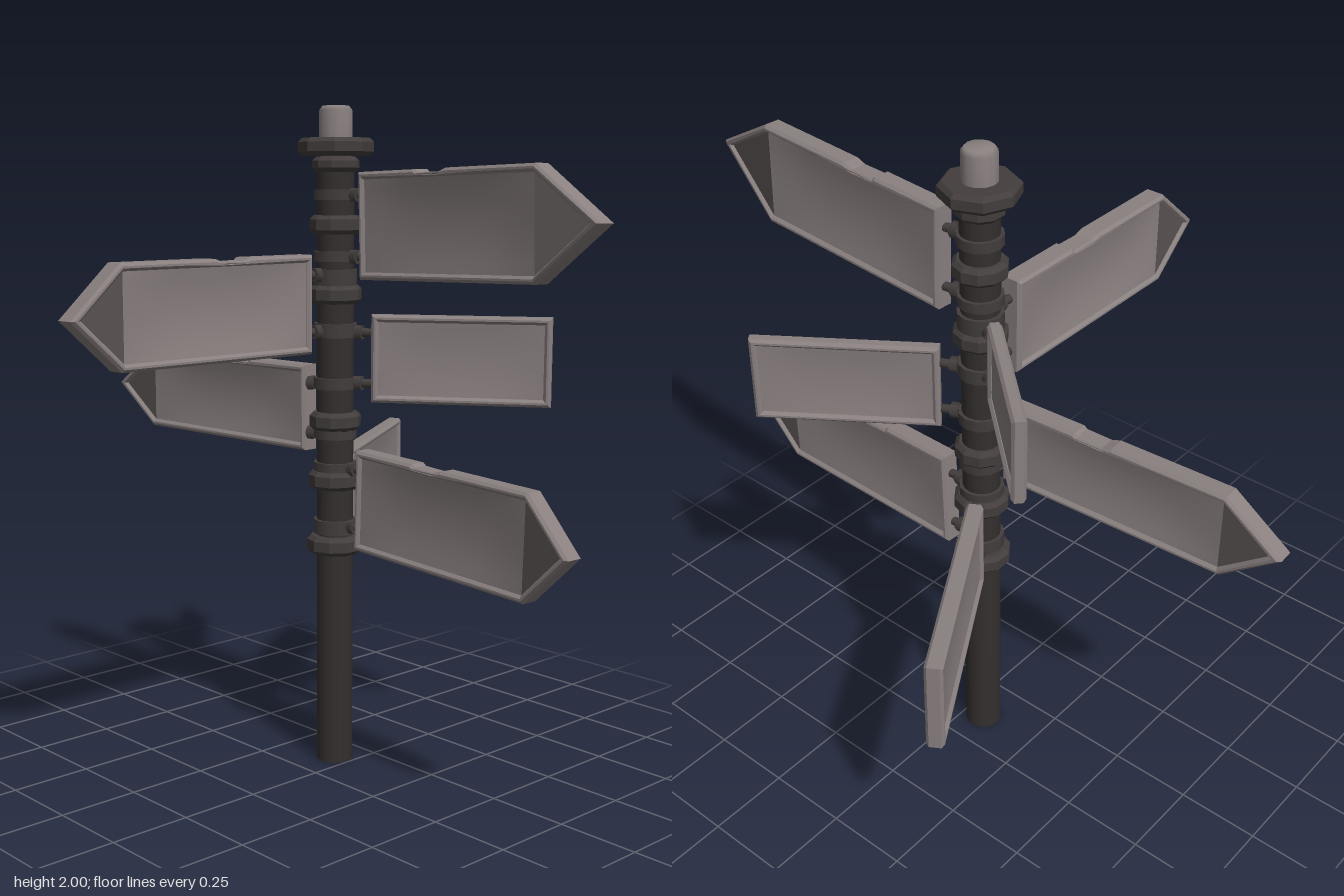
import * as THREE from 'three';

const mat = (name, color) => {
  const m = new THREE.MeshStandardMaterial({ color });
  m.name = name;
  return m;
};
const signGrey = mat('sign grey', 0x8a8080);
const tipGrey = mat('tip grey', 0x5a5252);
const postBlack = mat('post black', 0x352f2f);
const collarGrey = mat('collar grey', 0x433d3d);

const POST = new THREE.Vector2(-0.06, -0.135);
const V = (x, y) => new THREE.Vector2(x, y);

function add(parent, name, geometry, material, x = 0, y = 0, z = 0) {
  const mesh = new THREE.Mesh(geometry, material);
  mesh.name = name;
  mesh.position.set(x, y, z);
  parent.add(mesh);
  return mesh;
}

// Lifts the arrow point out of the board's plane
function bendTip(geometry, from, slope) {
  const p = geometry.attributes.position;
  for (let i = 0; i < p.count; i++) p.setZ(i, p.getZ(i) + Math.max(0, p.getX(i) - from) * slope);
  geometry.computeVertexNormals();
  return geometry;
}

// Dished rectangular panel facing +z (side 1) or -z (side -1)
function dish(w, h, cx, z, depth, side) {
  const g = new THREE.PlaneGeometry(w, h, 8, 8);
  const p = g.attributes.position;
  for (let i = 0; i < p.count; i++) {
    const u = (2 * p.getX(i)) / w, v = (2 * p.getY(i)) / h;
    p.setZ(i, -depth * (1 - u ** 4) * (1 - v * v));
  }
  g.computeVertexNormals();
  if (side < 0) g.rotateY(Math.PI);
  return g.translate(cx, 0, z * side);
}

// A board running along local +x: a rim, a dished panel on each face, optional arrow point
function board({ length, shoulder, height, thick, bend = 0 }) {
  const g = new THREE.Group();
  const arrow = shoulder !== undefined;
  const h = height / 2, b = 0.022, bevel = 0.008, hi = h - b;
  const run = arrow ? length - shoulder : 0;
  const tipIn = arrow ? length - (b * Math.hypot(run, h)) / h : 0;
  const end = arrow ? tipIn - (hi * run) / h : length - b;
  const outer = arrow
    ? [V(0, -h), V(shoulder, -h), V(length, 0), V(shoulder, h),
      V(0.36, h), V(0.33, h - 0.01), V(0.25, h - 0.008), V(0.24, h), V(0, h)]
    : [V(0, -h), V(length, -h), V(length, h), V(0, h)];
  const inner = [V(b, -hi), V(b, hi), V(end, hi), ...(arrow ? [V(tipIn, 0)] : []), V(end, -hi)];

  const shape = new THREE.Shape(outer);
  shape.holes.push(new THREE.Path(inner));
  const rim = new THREE.ExtrudeGeometry(shape, {
    depth: thick - 2 * bevel, bevelThickness: bevel, bevelSize: bevel, bevelOffset: -bevel, bevelSegments: 1,
  }).translate(0, 0, bevel - thick / 2);
  add(g, 'signRim', bendTip(rim, shoulder ?? length, bend), signGrey);

  const z = thick / 2 - 0.01;
  for (const side of [1, -1]) {
    const name = side > 0 ? 'Front' : 'Back';
    const w = end - b + (arrow ? 0.003 : 0.006);
    add(g, 'panel' + name, dish(w, height - 2 * b + 0.006, b - 0.003 + w / 2, z, thick * 0.2, side), signGrey);
    if (!arrow) continue;
    const pts = [V(end, -hi - 0.003), V(tipIn + 0.004, 0), V(end, hi + 0.003)];
    const tri = new THREE.ShapeGeometry(new THREE.Shape(pts));
    if (side < 0) tri.index.array.reverse();
    tri.translate(0, 0, z * side);
    add(g, 'tipPanel' + name, bendTip(tri, shoulder, bend), bend && side > 0 ? signGrey : tipGrey);
  }
  return g;
}

// Places a board between two points (x, z) and bolts it to the post
function sign(root, s) {
  const [x0, z0] = s.from, [x1, z1] = s.to;
  const g = new THREE.Group();
  g.name = s.name;
  g.position.set(x0, s.y, z0);
  g.rotation.set(0, Math.atan2(z0 - z1, x1 - x0), s.tilt ?? 0);
  g.add(board({ thick: 0.062, ...s, length: Math.hypot(x1 - x0, z1 - z0) }));
  root.add(g);

  const dir = V(x0, z0).sub(POST);
  const reach = dir.length() - 0.03;
  for (const k of [-1, 1]) {
    const y = s.y + k * s.height * 0.29;
    const band = new THREE.CylinderGeometry(0.066, 0.066, 0.03, 12);
    add(root, 'clampBand', band, collarGrey, POST.x, y, POST.y);
    const mount = new THREE.Group();
    mount.name = 'signMount';
    mount.position.set(POST.x, y, POST.y);
    mount.rotation.y = -Math.atan2(dir.y, dir.x);
    root.add(mount);
    const rod = new THREE.CylinderGeometry(0.013, 0.013, reach, 8).rotateZ(Math.PI / 2);
    add(mount, 'rod', rod, collarGrey, 0.035 + reach / 2);
    const nut = new THREE.CylinderGeometry(0.023, 0.023, 0.022, 6).rotateZ(Math.PI / 2);
    add(mount, 'nut', nut, collarGrey, 0.076);
  }
}

// Chamfered collar around the post
function collar(root, name, y, r, h, sides) {
  const c = Math.min(0.012, h / 3);
  const profile = [V(0.03, -h / 2), V(r - c, -h / 2), V(r, c - h / 2), V(r, h / 2 - c), V(r - c, h / 2), V(0.03, h / 2)];
  const g = new THREE.LatheGeometry(profile, sides).toNonIndexed();
  g.computeVertexNormals();
  add(root, name, g, collarGrey, POST.x, y, POST.y);
}

export function createModel() {
  const root = new THREE.Group();
  root.name = 'signpost';

  // Post, collars and cap
  add(root, 'post', new THREE.CylinderGeometry(0.055, 0.055, 1.9, 16), postBlack, POST.x, 0.95, POST.y);
  collar(root, 'topCollar', 1.88, 0.112, 0.052, 8);
  collar(root, 'neckRing', 1.83, 0.07, 0.045, 10);
  for (const [y, r] of [[0.69, 0.086], [0.89, 0.082], [1.07, 0.078], [1.45, 0.078], [1.655, 0.078]]) {
    collar(root, 'ring', y, r, 0.055, 10);
  }
  const cap = [V(0.05, 0), V(0.05, 0.085), V(0.04, 0.098), V(0, 0.1)];
  add(root, 'cap', new THREE.LatheGeometry(cap, 12), signGrey, POST.x, 1.9, POST.y);

  // Arrow boards
  const arrows = [
    { name: 'upperLeftArrow', from: [0.05, -0.15], to: [1.0, -0.098], y: 1.652, shoulder: 0.69, height: 0.31, tilt: 0.03, bend: 0.2 },
    { name: 'lowerLeftArrow', from: [0.05, -0.14], to: [0.89, -0.095], y: 0.84, shoulder: 0.69, height: 0.305, tilt: -0.03 },
    { name: 'rightArrow', from: [-0.12, -0.09], to: [-1.0, -0.04], y: 1.107, shoulder: 0.71, height: 0.26 },
    { name: 'frontArrow', from: [-0.065, -0.02], to: [-0.065, 0.82], y: 1.425, shoulder: 0.68, height: 0.29, thick: 0.07 },
  ];
  // Plain rectangular boards
  const plates = [
    { name: 'backLeftBoard', from: [0.045, -0.185], to: [0.48, -0.49], y: 1.262, height: 0.262 },
    { name: 'upperBackRightBoard', from: [-0.15, -0.185], to: [-0.49, -0.495], y: 1.42, height: 0.245 },
    { name: 'lowerBackRightBoard', from: [-0.125, -0.24], to: [-0.475, -0.81], y: 0.82, height: 0.28, thick: 0.05 },
  ];
  arrows.forEach((s) => sign(root, s));
  plates.forEach((s) => sign(root, { thick: 0.04, ...s }));
  return root;
}
